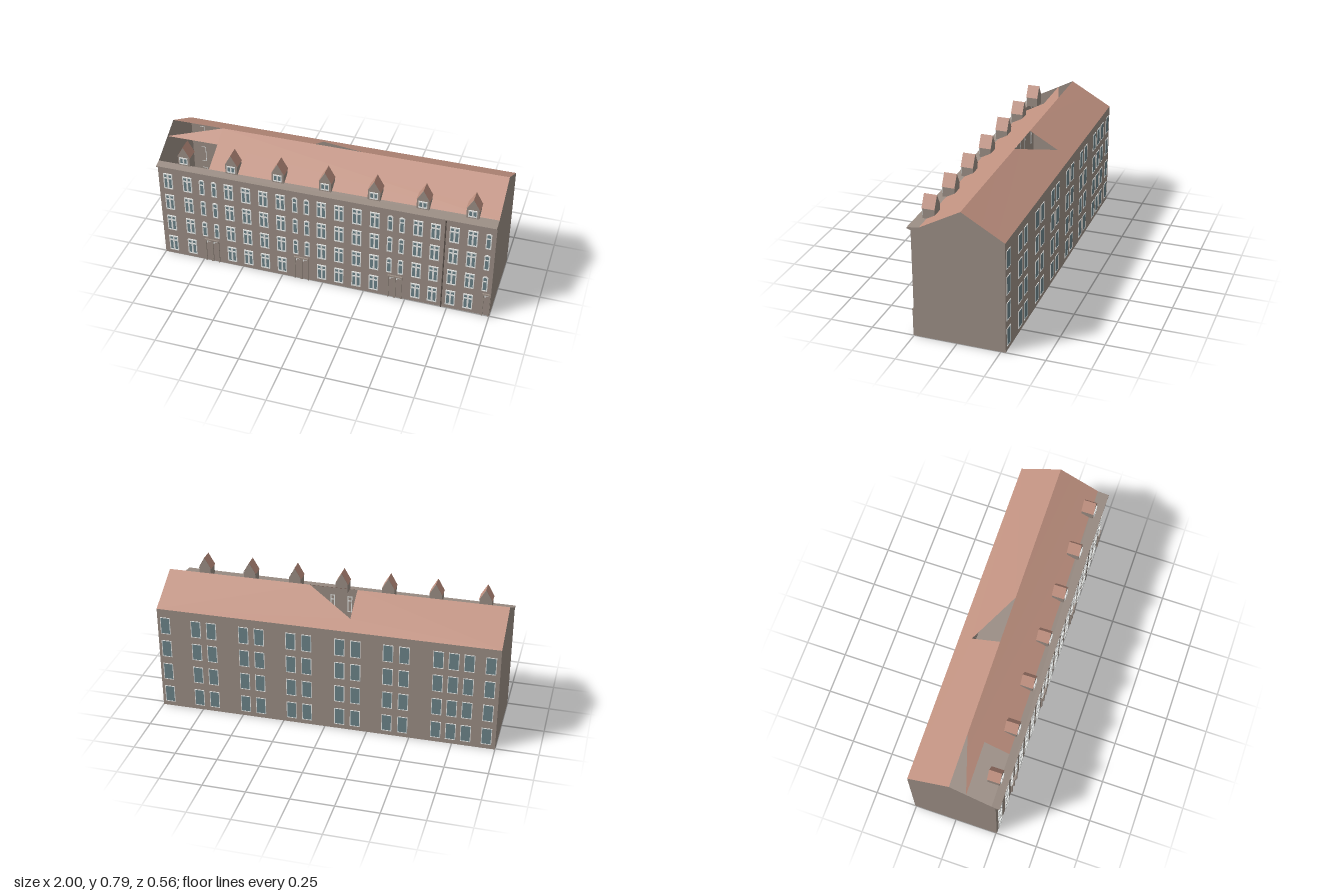
import * as THREE from 'three';
import { mergeGeometries } from 'three/addons/utils/BufferGeometryUtils.js';

const mat = (name, color, side = THREE.FrontSide) => {
  const m = new THREE.MeshStandardMaterial({ color, side });
  m.name = name;
  return m;
};

// Slightly skewed plan: z of each long line at a given x
const frontZ = x => 0.251 - 0.004 * x;
const backZ = x => -0.267 - 0.010 * x;
const ridgeZ = x => -0.0215 - 0.0135 * x;
const footZ = x => 0.216 - 0.016 * x;
const EAVE = 0.65, FOOT = 0.662, RIDGE = 0.79;

// Flat convex polygon from corner points
function panel(points) {
  const pos = [];
  for (let i = 1; i < points.length - 1; i++) pos.push(...points[0], ...points[i], ...points[i + 1]);
  const g = new THREE.BufferGeometry();
  g.setAttribute('position', new THREE.Float32BufferAttribute(pos, 3));
  g.computeVertexNormals();
  return g;
}

function box(x0, x1, y0, y1, z0, z1) {
  return new THREE.BoxGeometry(x1 - x0, y1 - y0, z1 - z0)
    .translate((x0 + x1) / 2, (y0 + y1) / 2, (z0 + z1) / 2);
}

// Rectangle outline with optional arched top
function outline(Type, x0, x1, y0, y1, rise = 0) {
  const s = new Type();
  s.moveTo(x0, y0);
  s.lineTo(x1, y0);
  s.lineTo(x1, y1);
  if (rise) s.quadraticCurveTo((x0 + x1) / 2, y1 + rise * 2, x0, y1);
  else s.lineTo(x0, y1);
  s.closePath();
  return s;
}

// Window frame with pane openings, standing on y = 0
function windowFrame(w, h, panes, depth, rise = 0) {
  const s = outline(THREE.Shape, -w / 2, w / 2, 0, h, rise);
  for (const p of panes) s.holes.push(outline(THREE.Path, ...p));
  return new THREE.ExtrudeGeometry(s, { depth, bevelEnabled: false, curveSegments: 6 });
}

// Roof slope: shape in (x, fraction from eave to ridge) laid on the slope
function slope(points, eaveZ, eaveY, up) {
  const g = new THREE.ShapeGeometry(new THREE.Shape(points.map(p => new THREE.Vector2(...p))));
  const p = g.attributes.position;
  for (let i = 0; i < p.count; i++) {
    const x = p.getX(i), t = p.getY(i);
    p.setXYZ(i, x, THREE.MathUtils.lerp(eaveY, RIDGE, t), THREE.MathUtils.lerp(eaveZ(x), ridgeZ(x), t));
  }
  if (!up) {
    const ix = g.index.array;
    for (let i = 0; i < ix.length; i += 3) [ix[i], ix[i + 1]] = [ix[i + 1], ix[i]];
  }
  g.computeVertexNormals();
  return g;
}

export function createModel() {
  const root = new THREE.Group();
  root.name = 'townhouseRow';
  const wall = mat('stone wall', 0x9a8d84, THREE.DoubleSide);
  const roof = mat('clay roof', 0xc09180, THREE.DoubleSide);
  const white = mat('white frame', 0xe8eae8);
  const glass = mat('window glass', 0x6a8288);
  const dark = mat('dark metal', 0x5c524c);

  const add = (name, geos, material) => {
    const mesh = new THREE.Mesh(mergeGeometries(geos.map(g => (g.index ? g.toNonIndexed() : g)).map(g => {
      g.deleteAttribute('uv');
      return g;
    })), material);
    mesh.name = name;
    root.add(mesh);
  };

  // Walls, floor and gables
  const gable = x => [[x, 0, frontZ(x)], [x, 0, backZ(x)], [x, EAVE, backZ(x)],
    [x, RIDGE, ridgeZ(x)], [x, FOOT, footZ(x)], [x, EAVE, frontZ(x)]];
  add('walls', [
    panel([[-1, 0, frontZ(-1)], [1, 0, frontZ(1)], [1, EAVE, frontZ(1)], [-1, EAVE, frontZ(-1)]]),
    panel([[1, 0, backZ(1)], [-1, 0, backZ(-1)], [-1, EAVE, backZ(-1)], [1, EAVE, backZ(1)]]),
    panel([[-1, 0, backZ(-1)], [1, 0, backZ(1)], [1, 0, frontZ(1)], [-1, 0, frontZ(-1)]]),
    panel(gable(1)), panel(gable(-1).reverse()),
  ], wall);

  // Roof slopes with their open bays
  add('frontRoof', [slope([[-0.69, 0], [1, 0], [1, 1], [-0.69, 1], [-1, 0.6], [-0.69, 0.6]], footZ, FOOT, true)], roof);
  add('backRoof', [slope([[-1, 0], [1, 0], [1, 1], [0.15, 1], [-0.13, 0.31], [-0.13, 1], [-1, 1]], backZ, EAVE, false)], roof);

  // Cornice running along the front eave
  const cornice = x => [[x, 0.638, frontZ(x)], [x, 0.646, frontZ(x) + 0.022],
    [x, 0.653, frontZ(x) + 0.022], [x, FOOT, footZ(x)]];
  const a = cornice(-1), b = cornice(1);
  add('cornice', [panel(b), panel([...a].reverse()),
    ...[0, 1, 2].map(i => panel([a[i], b[i], b[i + 1], a[i + 1]]))], wall);

  // Windows
  const frames = [], panes = [];
  const rows = [0.028, 0.183, 0.338, 0.49];
  const place = (g, x, y, z, turn = 0) => g.clone().rotateY(turn).translate(x, y, z);

  const wideFrame = windowFrame(0.056, 0.106, [
    [-0.022, -0.005, 0.006, 0.072], [0.005, 0.022, 0.006, 0.072],
    [-0.022, -0.005, 0.080, 0.100], [0.005, 0.022, 0.080, 0.100]], 0.007);
  const wideGlass = new THREE.PlaneGeometry(0.05, 0.1).translate(0, 0.053, 0.003);
  const wideX = [-0.94, -0.82, -0.565, -0.46, -0.355, -0.25, -0.005, 0.1, 0.205, 0.31, 0.56, 0.66, 0.767, 0.87];
  for (const x of wideX) for (const y of rows) {
    frames.push(place(wideFrame, x, y, frontZ(x)));
    panes.push(place(wideGlass, x, y, frontZ(x)));
  }

  // Narrow arched stair windows above the doors
  const slimFrame = windowFrame(0.032, 0.098, [
    [-0.01, 0.01, 0.006, 0.068], [-0.01, 0.01, 0.074, 0.094, 0.005]], 0.007, 0.008);
  const slimGlass = new THREE.PlaneGeometry(0.026, 0.096).translate(0, 0.05, 0.003);
  for (const x of [-0.73, -0.655, -0.163, -0.093, 0.4, 0.468, 0.96]) for (const y of rows.slice(1)) {
    frames.push(place(slimFrame, x, y, frontZ(x)));
    panes.push(place(slimGlass, x, y, frontZ(x)));
  }

  // Plain windows on the back
  const backFrame = windowFrame(0.06, 0.108, [[-0.026, 0.026, 0.004, 0.104]], 0.003);
  const backGlass = new THREE.PlaneGeometry(0.054, 0.102).translate(0, 0.054, 0.0015);
  for (const x of [0.953, 0.767, 0.673, 0.48, 0.387, 0.2, 0.107, -0.087, -0.18, -0.367, -0.46, -0.653, -0.74, -0.827, -0.947])
    for (const y of rows) {
      frames.push(place(backFrame, x, y, backZ(x), Math.PI));
      panes.push(place(backGlass, x, y, backZ(x), Math.PI));
    }

  // Dormers: gabled body, two roof planes and a double window
  const bodies = [], tops = [];
  const dormerFrame = windowFrame(0.05, 0.044, [
    [-0.02, -0.004, 0.006, 0.038], [0.004, 0.02, 0.006, 0.038]], 0.006);
  const dormerGlass = new THREE.PlaneGeometry(0.044, 0.04).translate(0, 0.022, 0.002);
  const pentagon = new THREE.Shape([[-0.036, 0.662], [0.036, 0.662], [0.036, 0.724], [0, 0.787], [-0.036, 0.724]]
    .map(p => new THREE.Vector2(...p)));
  for (const x of [-0.84, -0.55, -0.27, 0.01, 0.295, 0.575, 0.855]) {
    const z1 = 0.231 - 0.006 * x, z0 = z1 - 0.072;
    bodies.push(new THREE.ExtrudeGeometry(pentagon, { depth: 0.07, bevelEnabled: false }).translate(x, 0, z0 + 0.001));
    for (const s of [-1, 1]) {
      const p = [[x, 0.791, z1 + 0.002], [x + s * 0.04, 0.72, z1 + 0.002], [x + s * 0.04, 0.72, z0], [x, 0.791, z0]];
      tops.push(panel(s > 0 ? p : p.reverse()));
    }
    frames.push(place(dormerFrame, x, 0.673, z1));
    panes.push(place(dormerGlass, x, 0.673, z1));
  }
  add('dormerBodies', bodies, wall);
  add('dormerRoofs', tops, roof);
  add('windowFrames', frames, white);
  add('windowGlass', panes, glass);

  // Entrance surrounds with small white fanlight bars
  const surrounds = [], bars = [];
  const door = x => {
    const z = frontZ(x);
    for (const s of [-1, 1]) surrounds.push(box(x + s * 0.019 - 0.004, x + s * 0.019 + 0.004, 0, 0.16, z - 0.002, z + 0.008));
    surrounds.push(box(x - 0.023, x + 0.023, 0.155, 0.163, z - 0.002, z + 0.01));
    bars.push(box(x - 0.012, x + 0.012, 0.146, 0.152, z, z + 0.004));
    bars.push(box(x - 0.012, x - 0.006, 0.134, 0.146, z, z + 0.004));
  };
  [-0.713, -0.67, -0.152, -0.108, 0.417, 0.458, 0.975].forEach(door);
  add('doorSurrounds', surrounds, wall);
  add('fanlightBars', bars, white);

  // Rain pipe at the house joint
  add('rainPipe', [box(0.712, 0.718, 0, 0.645, frontZ(0.715) - 0.001, frontZ(0.715) + 0.006)], dark);
  return root;
}
